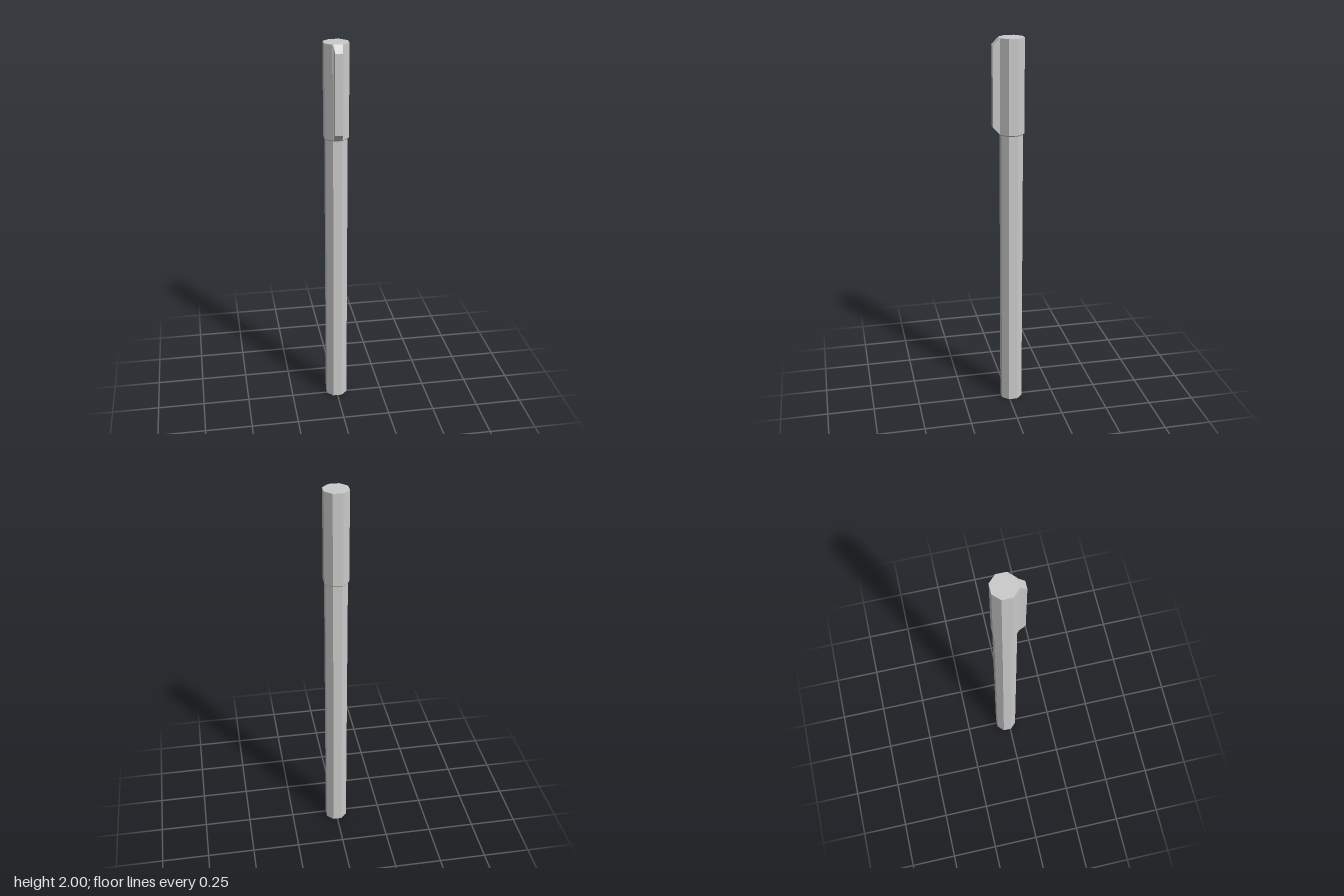
import * as THREE from 'three';

const material = new THREE.MeshStandardMaterial({ color: 0xcccccc, flatShading: true });
const AXIS_Z = -0.018;

// Eight-sided section; radii are measured to the flats, which face the axes
function octagon(name, topApothem, bottomApothem, y0, y1, open = false) {
  const k = 1 / Math.cos(Math.PI / 8);
  const geometry = new THREE.CylinderGeometry(topApothem * k, bottomApothem * k, y1 - y0, 8, 1, open, Math.PI / 8);
  const mesh = new THREE.Mesh(geometry, material);
  mesh.name = name;
  mesh.position.set(0, (y0 + y1) / 2, AXIS_Z);
  return mesh;
}

// Raised bar whose front face is smaller than its back
function bar(name, width, y0, y1, z0, z1, frontWidth, slope) {
  const height = y1 - y0;
  const geometry = new THREE.BoxGeometry(width, height, z1 - z0);
  const p = geometry.attributes.position;
  for (let i = 0; i < p.count; i++) {
    if (p.getZ(i) > 0) {
      p.setX(i, Math.sign(p.getX(i)) * frontWidth / 2);
      p.setY(i, Math.sign(p.getY(i)) * (height / 2 - slope));
    }
  }
  geometry.computeVertexNormals();
  const mesh = new THREE.Mesh(geometry, material);
  mesh.name = name;
  mesh.position.set(0, (y0 + y1) / 2, (z0 + z1) / 2);
  return mesh;
}

export function createModel() {
  const group = new THREE.Group();
  group.name = 'pen';
  group.add(
    octagon('barrel', 0.056, 0.056, 0, 1.53),
    octagon('capRim', 0.062, 0.056, 1.514, 1.52, true),
    octagon('cap', 0.062, 0.062, 1.52, 2),
    bar('clip', 0.046, 1.52, 2, 0.044, 0.079, 0.039, 0.036),
  );
  return group;
}
